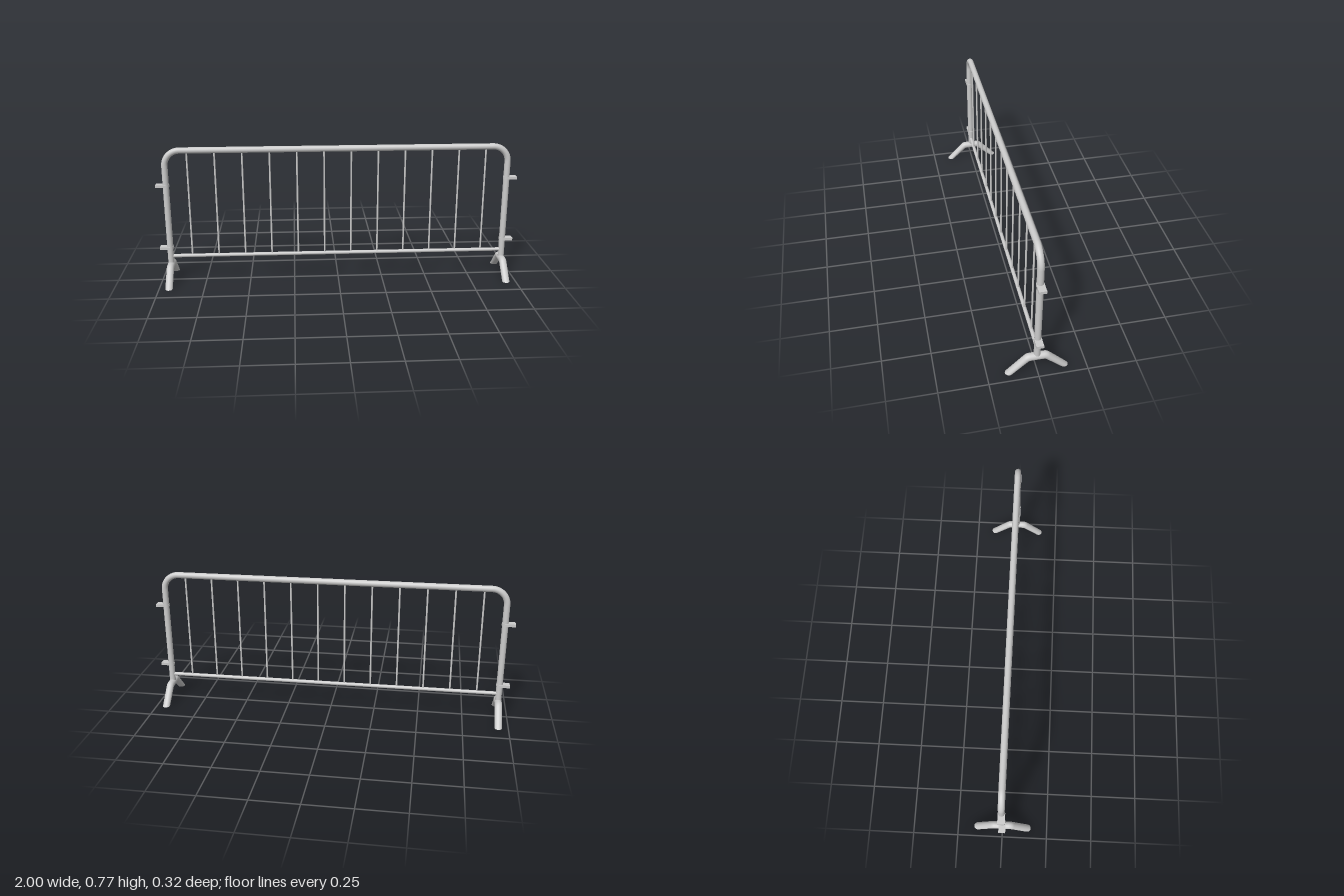
import * as THREE from 'three';

const material = new THREE.MeshStandardMaterial({ color: 0xcccccc });
const POST_X = 0.945, TOP_Y = 0.753, TUBE_R = 0.017, BEND_R = 0.085;

function part(name, geometry, parent) {
  const mesh = new THREE.Mesh(geometry, material);
  mesh.name = name;
  parent.add(mesh);
  return mesh;
}

// Upright round bar between two heights
function upright(name, radius, x, y0, y1, sides, parent) {
  const mesh = part(name, new THREE.CylinderGeometry(radius, radius, y1 - y0, sides), parent);
  mesh.position.set(x, (y0 + y1) / 2, 0);
}

// Horizontal round bar centred on x = 0
function rail(name, radius, length, y, parent) {
  const mesh = part(name, new THREE.CylinderGeometry(radius, radius, length, 24), parent);
  mesh.rotation.z = Math.PI / 2;
  mesh.position.y = y;
}

// Bent foot tube, swept through pairs of upper and lower edge points (z, y)
function footGeometry() {
  const half = [
    [0.160, 0, 0.118, 0], [0.066, 0.098, 0.050, 0.060], [0.058, 0.105, 0.044, 0.066],
    [0.048, 0.1095, 0.037, 0.070], [0.034, 0.111, 0.028, 0.071],
  ];
  const stations = [...half, ...half.slice().reverse().map(([a, b, c, d]) => [-a, b, -c, d])];
  const sides = 24, pos = [], idx = [];
  for (const [zu, yu, zl, yl] of stations) {
    for (let j = 0; j < sides; j++) {
      const a = (j / sides) * Math.PI * 2, c = Math.cos(a) / 2;
      pos.push(0.0205 * Math.sin(a), (yu + yl) / 2 + c * (yu - yl), (zu + zl) / 2 + c * (zu - zl));
    }
  }
  for (let i = 0; i < stations.length - 1; i++) {
    for (let j = 0; j < sides; j++) {
      const k = (j + 1) % sides;
      const a = i * sides + j, b = i * sides + k, c = a + sides, d = b + sides;
      idx.push(a, b, c, b, d, c);
    }
  }
  const geometry = new THREE.BufferGeometry();
  geometry.setAttribute('position', new THREE.Float32BufferAttribute(pos, 3));
  geometry.setIndex(idx);
  geometry.computeVertexNormals();
  return geometry;
}

// Flat coupling plate that wraps round a post and points outwards along +x
function couplingGeometry() {
  const shape = new THREE.Shape();
  shape.moveTo(0, 0.019);
  shape.absarc(0, 0, 0.019, Math.PI / 2, Math.PI * 1.5, false);
  shape.lineTo(0.055, -0.019);
  shape.lineTo(0.055, 0.019);
  shape.closePath();
  const geometry = new THREE.ExtrudeGeometry(shape, { depth: 0.015, bevelEnabled: false, curveSegments: 16 });
  geometry.rotateX(-Math.PI / 2);
  geometry.translate(0, -0.0075, 0);
  return geometry;
}

export function createModel() {
  const model = new THREE.Group();
  model.name = 'crowdBarrier';

  // Outer frame and lower rail
  rail('topRail', TUBE_R, 2 * (POST_X - BEND_R), TOP_Y, model);
  rail('bottomRail', 0.01, 2 * POST_X, 0.144, model);

  // Infill bars
  const bars = new THREE.Group();
  bars.name = 'infillBars';
  model.add(bars);
  for (let i = 0; i < 12; i++) {
    upright('infillBar', 0.005, -0.823 + i * 0.1494, 0.144, TOP_Y, 12, bars);
  }

  // Post, bend, foot and couplings at each end
  const foot = footGeometry(), coupling = couplingGeometry();
  for (const side of [-1, 1]) {
    const end = new THREE.Group();
    end.name = side > 0 ? 'leftEnd' : 'rightEnd';
    model.add(end);
    upright('post', TUBE_R, side * POST_X, 0.09, TOP_Y - BEND_R, 24, end);

    const bend = part('cornerBend', new THREE.TorusGeometry(BEND_R, TUBE_R, 24, 16, Math.PI / 2), end);
    bend.position.set(side * (POST_X - BEND_R), TOP_Y - BEND_R, 0);
    if (side < 0) bend.rotation.y = Math.PI;

    part('foot', foot, end).position.x = side * POST_X;

    // Flat ground faces closing the tube ends
    for (const z of [-0.139, 0.139]) {
      const sole = part('footSole', new THREE.CircleGeometry(1, 24), end);
      sole.rotation.x = Math.PI / 2;
      sole.scale.set(0.0205, 0.021, 1);
      sole.position.set(side * POST_X, 0, z);
    }

    // Couplings sit slightly higher on the left end so neighbours interlock
    for (const y of [0.195, 0.557]) {
      const plate = part('coupling', coupling, end);
      plate.position.set(side * POST_X, side > 0 ? y + 0.0155 : y, 0);
      if (side < 0) plate.rotation.y = Math.PI;
    }
  }
  return model;
}
